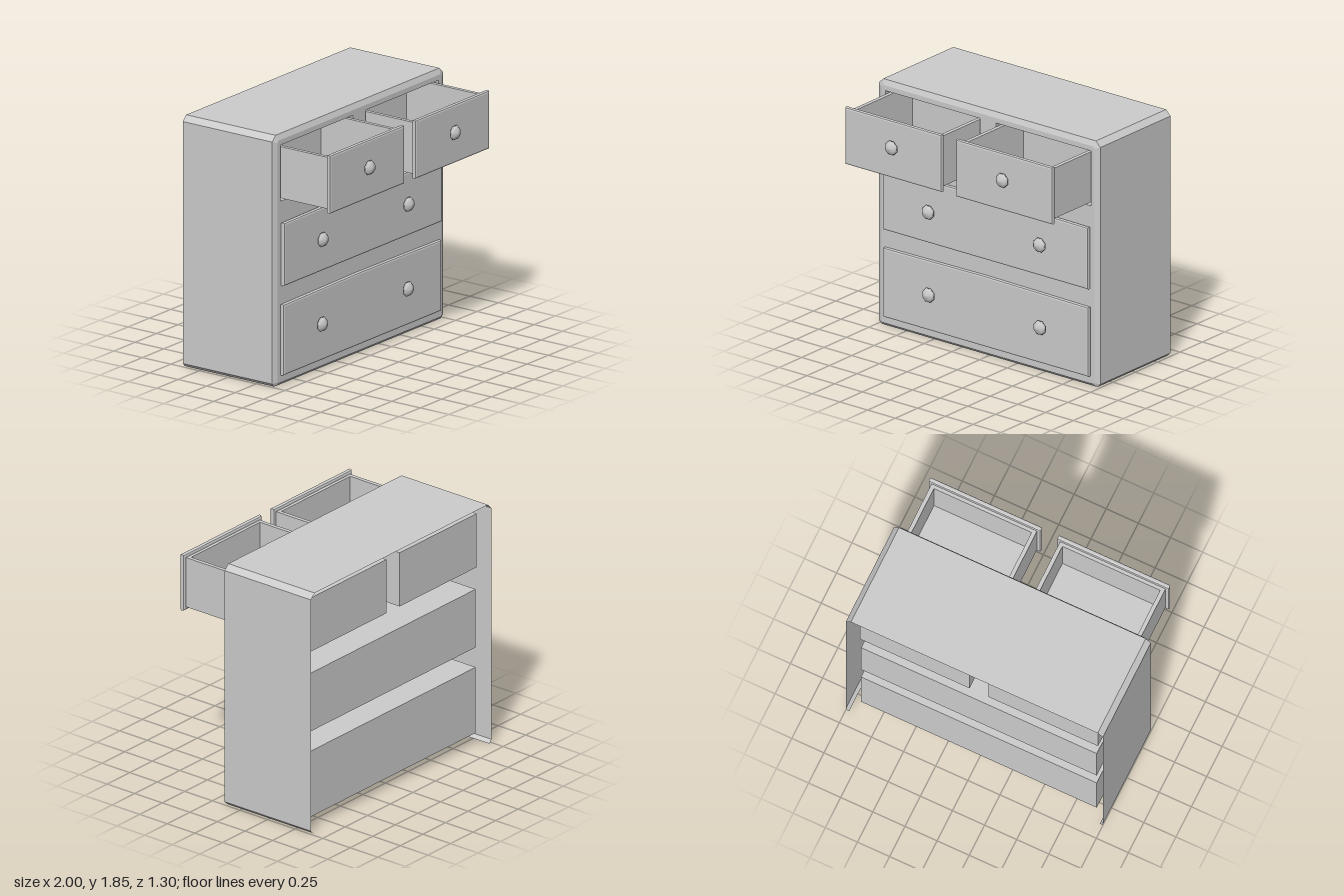
import * as THREE from 'three';

const grey = new THREE.MeshStandardMaterial({ color: 0xcccccc, side: THREE.DoubleSide });
const FRONT = 0.155, BACK = -0.645, CAVITY_BACK = -0.57;

function mesh(name, geometry, x = 0, y = 0, z = 0) {
  const m = new THREE.Mesh(geometry, grey);
  m.name = name;
  m.position.set(x, y, z);
  return m;
}

// Flat-shaded skin between outlines at successive z values
function loft(rings, closed) {
  const pos = [];
  for (let r = 0; r + 1 < rings.length; r++) {
    const [p, q] = [rings[r], rings[r + 1]];
    const n = p.pts.length;
    for (let i = 0; i < (closed ? n : n - 1); i++) {
      const j = (i + 1) % n;
      const a = [...p.pts[i], p.z], b = [...p.pts[j], p.z];
      const c = [...q.pts[j], q.z], d = [...q.pts[i], q.z];
      pos.push(...a, ...b, ...c, ...a, ...c, ...d);
    }
  }
  const g = new THREE.BufferGeometry();
  g.setAttribute('position', new THREE.Float32BufferAttribute(pos, 3));
  g.computeVertexNormals();
  return g;
}

// Rectangle with cut corners, starting at the bottom right and running counterclockwise
function outline(x, y0, y1, cutLow, cutHigh) {
  const half = [[x - cutLow, y0], [x, y0 + cutLow], [x, y1 - cutHigh], [x - cutHigh, y1]];
  return [...half, ...half.map(([a, b]) => [-a, b]).reverse()];
}

// Thin-walled box without its front face (the fifth of the six box faces)
function cavityGeometry(w, h, d) {
  const g = new THREE.BoxGeometry(w, h, d);
  const index = Array.from(g.index.array);
  index.splice(24, 6);
  g.setIndex(index);
  g.clearGroups();
  return g;
}

// Bevelled drawer front, its top edge optionally bowed up in the middle
function panelGeometry(w, h, bow) {
  const b = 0.014, x = w / 2 - b, y = h / 2 - b;
  const s = new THREE.Shape();
  s.moveTo(-x, -y);
  s.lineTo(x, -y);
  s.lineTo(x, y);
  if (bow) s.lineTo(0, y + bow);
  s.lineTo(-x, y);
  s.closePath();
  return new THREE.ExtrudeGeometry(s, {
    depth: 0.012, bevelThickness: 0.012, bevelSize: b, bevelSegments: 2,
  }).translate(0, 0, 0.012);
}

// Domed eight-sided knob on a short stem, pointing along +z
function knobGeometry() {
  const profile = [[0.016, -0.01], [0.016, 0.014], [0.055, 0.014], [0.052, 0.028], [0.037, 0.045], [0, 0.054]];
  return new THREE.LatheGeometry(profile.map(([r, y]) => new THREE.Vector2(r, y)), 8, Math.PI / 8)
    .rotateX(Math.PI / 2);
}

// Drawer with its origin at the panel centre on the cabinet front
function drawer(name, w, h, bow, knobXs, knobY) {
  const g = new THREE.Group();
  g.name = name;
  const t = 0.03, bw = w - 0.05, bh = h - 0.05, depth = 0.69, zc = -depth / 2 + 0.005;
  g.add(mesh('drawerFront', panelGeometry(w, h, bow)));
  for (const s of [-1, 1]) {
    g.add(mesh('drawerSide', new THREE.BoxGeometry(t, bh, depth), s * (bw - t) / 2, 0, zc));
    g.add(mesh(s > 0 ? 'drawerInnerFront' : 'drawerBack',
      new THREE.BoxGeometry(bw - 2 * t, bh, t), 0, 0, zc + s * (depth - t) / 2));
  }
  g.add(mesh('drawerFloor', new THREE.BoxGeometry(bw - 2 * t, t, depth - 2 * t), 0, -(bh - t) / 2, zc));
  for (const x of knobXs) g.add(mesh('knob', knobGeometry(), x, knobY, 0.035));
  return g;
}

export function createModel() {
  const model = new THREE.Group();
  model.name = 'chestOfDrawers';

  // Each bay: x range, y range, bow of the panel top, how far it is pulled out, knobs
  const bays = [
    { name: 'topRightDrawer', x: [-0.935, -0.065], y: [1.35, 1.78], bow: 0, out: 0.41, knobs: [0], ky: 0.02 },
    { name: 'topLeftDrawer', x: [0.065, 0.935], y: [1.35, 1.78], bow: 0, out: 0.41, knobs: [0], ky: 0.02 },
    { name: 'middleDrawer', x: [-0.925, 0.925], y: [0.735, 1.2], bow: 0.01, out: 0, knobs: [-0.5, 0.505], ky: 0.008 },
    { name: 'bottomDrawer', x: [-0.925, 0.925], y: [0.075, 0.598], bow: 0.01, out: -0.005, knobs: [-0.5, 0.505], ky: 0.014 },
  ];

  // Shell: sides and top, open at the back and underneath
  const outer = outline(1, 0, 1.85, 0.025, 0.04);
  const inset = outline(0.96, 0.02, 1.81, 0.01, 0.015);
  model.add(mesh('cabinetShell', loft([{ pts: outer, z: BACK }, { pts: outer, z: FRONT - 0.017 }], false)));
  model.add(mesh('frontBevel', loft([{ pts: outer, z: FRONT - 0.017 }, { pts: inset, z: FRONT }], true)));

  // Front frame pierced by the drawer openings
  const frame = new THREE.Shape(inset.map(([x, y]) => new THREE.Vector2(x, y)));
  const gap = 0.008;
  for (const { x: [x0, x1], y: [y0, y1] } of bays) {
    const corners = [[x0 + gap, y0 + gap], [x0 + gap, y1 - gap], [x1 - gap, y1 - gap], [x1 - gap, y0 + gap]];
    frame.holes.push(new THREE.Path(corners.map(([x, y]) => new THREE.Vector2(x, y))));
  }
  model.add(mesh('frontFrame', new THREE.ShapeGeometry(frame), 0, 0, FRONT));

  // Drawer housings and drawers
  for (const { name, x: [x0, x1], y: [y0, y1], bow, out, knobs, ky } of bays) {
    const w = x1 - x0, h = y1 - y0, cx = (x0 + x1) / 2, cy = (y0 + y1) / 2, d = FRONT - CAVITY_BACK;
    model.add(mesh('drawerHousing', cavityGeometry(w - 2 * gap, h - 2 * gap, d), cx, cy, FRONT - d / 2));
    const dr = drawer(name, w, h, bow, knobs, ky);
    dr.position.set(cx, cy, FRONT + out - 0.002);
    model.add(dr);
  }
  return model;
}
